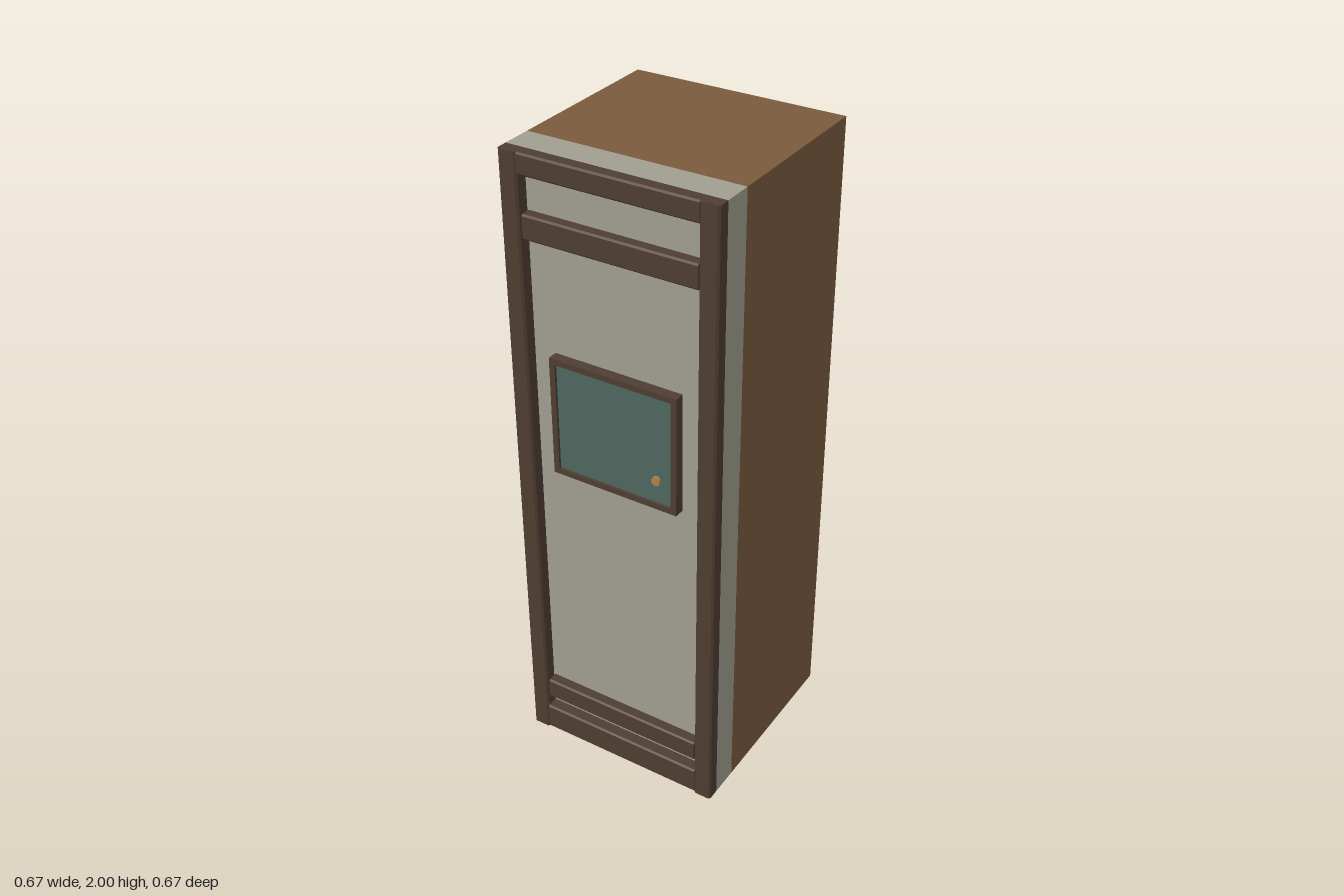
import * as THREE from 'three';

const paint = (color) => new THREE.MeshStandardMaterial({ color });
const wood = paint(0x7a5a3e);
const darkWood = paint(0x4f3d32);
const plaster = paint(0xa09e90);
const glass = paint(0x4f675f);
const brass = paint(0xa5834f);

const FACE = 0.293; // z of the panel's front face
const HALF = 0.333;

function add(group, name, geometry, material, x, y, z) {
  const mesh = new THREE.Mesh(geometry, material);
  mesh.name = name;
  mesh.position.set(x, y, z);
  group.add(mesh);
  return mesh;
}

// Upright bar centred on its length, back at z = 0, both front edges chamfered
function barGeometry(width, length, depth, chamfer) {
  const w = width / 2;
  const shape = new THREE.Shape([
    [-w, 0], [-w, -depth + chamfer], [-w + chamfer, -depth],
    [w - chamfer, -depth], [w, -depth + chamfer], [w, 0],
  ].map(([x, y]) => new THREE.Vector2(x, y)));
  const geometry = new THREE.ExtrudeGeometry(shape, { depth: length, bevelEnabled: false });
  return geometry.translate(0, 0, -length / 2).rotateX(-Math.PI / 2);
}

export function createModel() {
  const model = new THREE.Group();
  model.name = 'wallSegment';

  // Solid body with a plaster panel on its front
  add(model, 'body', new THREE.BoxGeometry(2 * HALF, 2, 0.533), wood, 0, 1, -0.0665);
  add(model, 'panel', new THREE.BoxGeometry(2 * HALF, 2, 0.093), plaster, 0, 1, 0.2465);

  // Corner posts
  for (const [side, name] of [[1, 'leftPost'], [-1, 'rightPost']]) {
    add(model, name, barGeometry(0.058, 2, 0.04, 0.006), darkWood, side * 0.304, 1, FACE);
  }

  // Cross beams between the posts: name, bottom, top, length, depth
  const beams = [
    ['sill', 0, 0.09, 0.55, 0.038],
    ['lowerRail', 0.13, 0.2, 0.54, 0.034],
    ['upperRail', 1.752, 1.826, 0.54, 0.034],
    ['header', 1.937, 2, 0.55, 0.038],
  ];
  for (const [name, bottom, top, length, depth] of beams) {
    const geometry = barGeometry(top - bottom, length, depth, 0.005).rotateZ(Math.PI / 2);
    add(model, name, geometry, darkWood, 0, (bottom + top) / 2, FACE);
  }

  // Small window hatch: frame with an opening, pane and knob
  const hatch = new THREE.Group();
  hatch.name = 'hatch';
  hatch.position.set(0, 1.221, FACE);
  model.add(hatch);
  const rectangle = (w, h, Type) => new Type([
    new THREE.Vector2(-w, -h), new THREE.Vector2(w, -h),
    new THREE.Vector2(w, h), new THREE.Vector2(-w, h),
  ]);
  const outline = rectangle(0.206, 0.19, THREE.Shape);
  outline.holes.push(rectangle(0.188, 0.172, THREE.Path));
  add(hatch, 'frame', new THREE.ExtrudeGeometry(outline, { depth: 0.032, bevelEnabled: false }), darkWood, 0, 0, 0);
  add(hatch, 'pane', new THREE.BoxGeometry(0.376, 0.344, 0.024), glass, 0, 0, 0.012);
  const knob = new THREE.CylinderGeometry(0.014, 0.014, 0.012, 16).rotateX(Math.PI / 2);
  add(hatch, 'knob', knob, brass, 0.139, -0.097, 0.028);

  return model;
}
